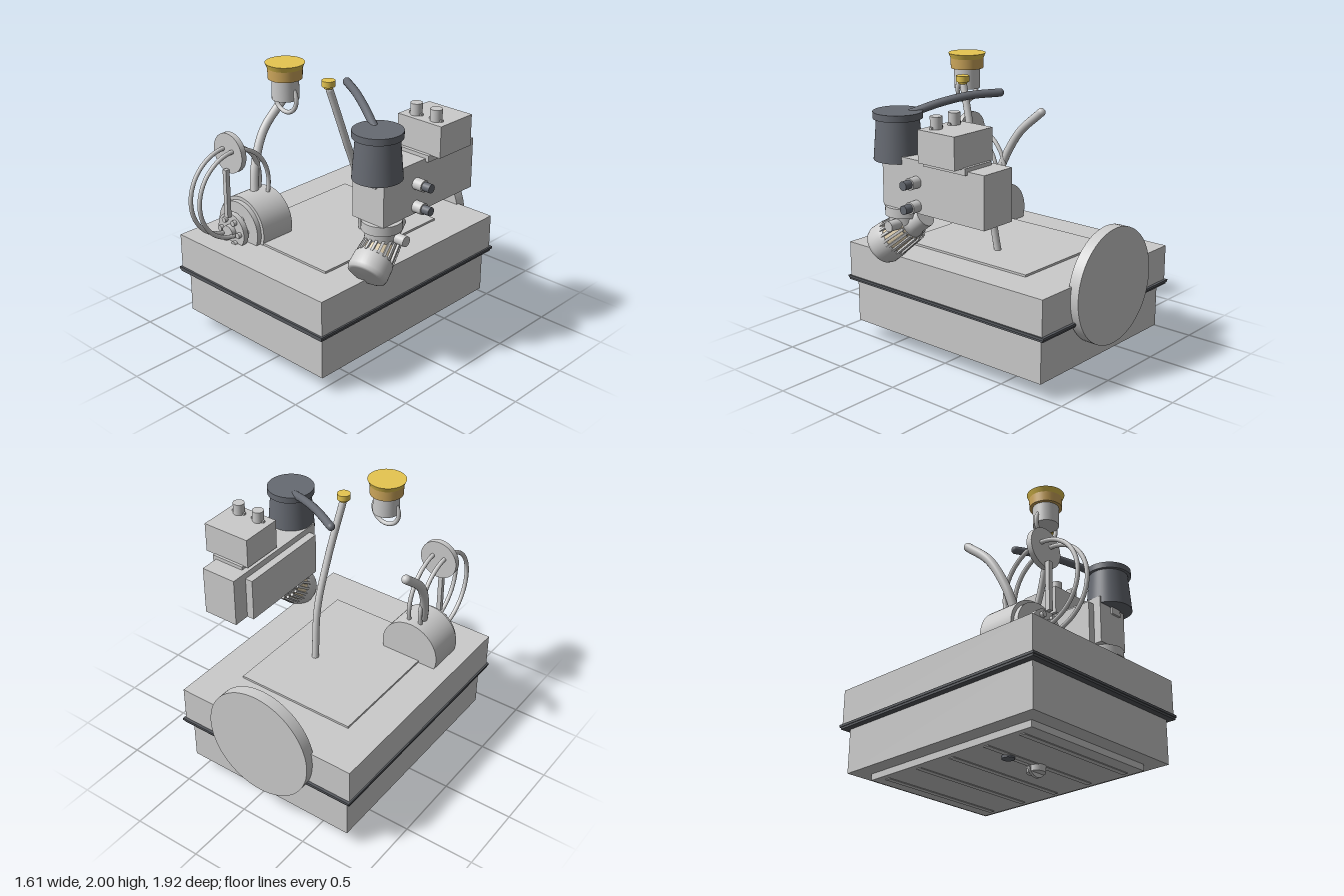
import * as THREE from 'three';

const material = (color) => new THREE.MeshStandardMaterial({ color });
const grey = material(0xcccccc);
const dark = material(0x666a72);
const gasketDark = material(0x55585d);
const gold = material(0xe6c650);
const brass = material(0xcfa85c);
const cream = material(0xe6d5b4);
const V = (p) => new THREE.Vector3(...p);

export function createModel() {
  const model = new THREE.Group();

  function add(name, geometry, mat = grey, parent = model) {
    const mesh = new THREE.Mesh(geometry, mat);
    mesh.name = name;
    parent.add(mesh);
    return mesh;
  }
  // box given by its limits on each axis
  function box(name, [x0, x1], [y0, y1], [z0, z1], mat) {
    const mesh = add(name, new THREE.BoxGeometry(x1 - x0, y1 - y0, z1 - z0), mat);
    mesh.position.set((x0 + x1) / 2, (y0 + y1) / 2, (z0 + z1) / 2);
    return mesh;
  }
  // round bar from a to b, radius ra at a and rb at b
  function rod(name, a, b, ra, rb = ra, mat = grey, sides = 40) {
    const dir = V(b).sub(V(a));
    const mesh = add(name, new THREE.CylinderGeometry(rb, ra, dir.length(), sides), mat);
    mesh.position.copy(V(a).add(V(b)).multiplyScalar(0.5));
    mesh.quaternion.setFromUnitVectors(new THREE.Vector3(0, 1, 0), dir.normalize());
    return mesh;
  }
  // bent pipe through points, closed with round ends
  function pipe(name, points, r, mat = grey) {
    const curve = new THREE.CatmullRomCurve3(points.map(V));
    add(name, new THREE.TubeGeometry(curve, 40, r, 14), mat);
    for (const t of [0, 1]) {
      add(name + 'End', new THREE.SphereGeometry(r, 14, 10), mat).position.copy(curve.getPoint(t));
    }
  }

  // Case: lower tub, seal, upper cover, lid panel
  box('lowerCase', [-0.76, 0.54], [0.12, 0.44], [-0.86, 0.795]);
  box('sealLower', [-0.805, 0.58], [0.43, 0.445], [-0.905, 0.84], gasketDark);
  box('sealUpper', [-0.81, 0.587], [0.445, 0.462], [-0.915, 0.845], gasketDark);
  box('upperCase', [-0.8, 0.575], [0.46, 0.71], [-0.895, 0.83]);
  box('lidPanel', [-0.55, 0.33], [0.71, 0.725], [-0.56, 0.545]);

  // Underside: base plate, ribs, drain plug with grip
  box('basePlate', [-0.645, 0.425], [0.075, 0.12], [-0.75, 0.68]);
  for (let i = 0; i < 5; i++) {
    const z = 0.56 - i * 0.3;
    box('baseRib', [-0.6, 0.38], [0.069, 0.076], [z - 0.02, z + 0.02]);
  }
  rod('drainPlug', [-0.11, 0.03, 0.23], [-0.11, 0.08, 0.23], 0.062);
  const grip = rod('drainGrip', [-0.11, 0.078, 0.22], [-0.11, 0.078, 0.24], 0.078);
  grip.scale.set(1, 1, 1);
  rod('drainVent', [-0.37, 0.057, 0.23], [-0.37, 0.08, 0.23], 0.043, 0.043, dark);
  rod('drainLink', [-0.33, 0.068, 0.23], [-0.17, 0.068, 0.23], 0.01);

  // Large disc on the back
  rod('backDisc', [-0.11, 0.62, -0.955], [-0.11, 0.62, -0.875], 0.4, 0.4, grey, 64);

  // Drum half sunk in the cover, with stepped front and bolted hub
  const drum = (name, r, z0, z1) => rod(name, [-0.47, 0.785, z0], [-0.47, 0.785, z1], r, r, grey, 48);
  drum('drum', 0.22, 0.285, 0.55);
  drum('drumStep', 0.195, 0.55, 0.585);
  drum('hubShaft', 0.05, 0.585, 0.685);
  drum('hubDisc', 0.13, 0.61, 0.65);
  for (let i = 0; i < 6; i++) {
    const a = (i * Math.PI) / 3;
    const x = -0.47 + 0.09 * Math.cos(a), y = 0.785 + 0.09 * Math.sin(a);
    rod('hubBolt', [x, y, 0.585], [x, y, 0.675], 0.02, 0.02, grey, 12);
  }

  // Upper pulley, twin hoops and link bar
  rod('pulley', [-0.47, 1.36, 0.61], [-0.47, 1.36, 0.65], 0.14);
  for (const x of [-0.515, -0.425]) {
    const hoop = add('hoop', new THREE.TorusGeometry(0.308, 0.015, 12, 72));
    hoop.rotation.y = Math.PI / 2;
    hoop.position.set(x, 1.075, 0.64);
  }
  box('linkBar', [-0.486, -0.454], [0.9, 1.25], [0.655, 0.688]);
  pipe('drumLever', [[-0.49, 0.95, 0.41], [-0.53, 1.15, 0.36], [-0.565, 1.38, 0.24], [-0.57, 1.56, 0.04]], 0.031);

  // Push button with ring
  rod('buttonStem', [-0.175, 1.755, 0.39], [-0.175, 1.9, 0.39], 0.09);
  rod('buttonCollar', [-0.175, 1.895, 0.39], [-0.175, 1.965, 0.39], 0.113, 0.115, brass);
  rod('buttonCap', [-0.175, 1.965, 0.39], [-0.175, 2, 0.39], 0.115, 0.13, gold);
  add('buttonRing', new THREE.TorusGeometry(0.1, 0.015, 12, 48)).position.set(-0.175, 1.76, 0.39);

  // Slender bent stalk with its cap
  pipe('stalk', [[0.06, 0.72, -0.095], [0.085, 1.1, -0.03], [0.088, 1.45, 0.1], [0.055, 1.82, 0.215]], 0.025);
  rod('stalkCapBase', [0.053, 1.835, 0.225], [0.053, 1.855, 0.225], 0.03, 0.035, gold);
  rod('stalkCap', [0.053, 1.85, 0.225], [0.053, 1.89, 0.225], 0.045, 0.045, gold);

  // Arm housing, side plate, control box with knobs
  box('arm', [0.41, 0.675], [1.095, 1.45], [-0.51, 0.375]);
  box('armSidePlate', [0.355, 0.41], [1.095, 1.405], [-0.39, 0.315]);
  box('controlPad', [0.45, 0.7], [1.43, 1.475], [-0.375, -0.02]);
  box('controlBox', [0.415, 0.773], [1.47, 1.685], [-0.355, -0.045]);
  for (const x of [0.51, 0.675]) {
    rod('controlKnob', [x, 1.685, -0.115], [x, 1.765, -0.115], 0.04);
    box('controlKnobTab', [x - 0.052, x + 0.052], [1.685, 1.7], [-0.125, -0.105]);
  }
  for (const y of [1.145, 1.305]) {
    rod('sideKnob', [0.67, y, 0.065], [0.745, y, 0.065], 0.04);
    rod('sideKnobTip', [0.745, y, 0.065], [0.803, y, 0.065], 0.03, 0.03, dark);
  }

  // Dark hopper, its lid and hose
  rod('hopper', [0.575, 1.4, 0.325], [0.575, 1.68, 0.325], 0.165, 0.142, dark, 48);
  rod('hopperLid', [0.575, 1.675, 0.325], [0.575, 1.72, 0.325], 0.165, 0.165, dark, 48);
  box('hopperTab', [0.53, 0.617], [1.35, 1.41], [0.34, 0.39]);
  pipe('hose', [[-0.03, 1.795, -0.035], [0.15, 1.79, 0.07], [0.33, 1.755, 0.175], [0.5, 1.7, 0.275]], 0.028, dark);

  // Head under the arm: collar, pivot bolt and tilted slotted nozzle
  rod('headCollar', [0.572, 1.03, 0.275], [0.572, 1.095, 0.275], 0.135, 0.135);
  rod('headNeck', [0.572, 0.95, 0.275], [0.572, 1.035, 0.275], 0.11, 0.115);
  rod('pivotBolt', [0.6, 0.985, 0.25], [0.76, 0.985, 0.25], 0.036);
  const nozzle = new THREE.Group();
  nozzle.name = 'nozzle';
  const start = V([0.55, 1.04, 0.115]);
  const axis = V([0.615, 0.77, 0.47]).sub(start).normalize();
  nozzle.position.copy(start);
  nozzle.quaternion.setFromUnitVectors(new THREE.Vector3(0, 1, 0), axis);
  model.add(nozzle);
  const profile = (pts) => new THREE.LatheGeometry(pts.map((p) => new THREE.Vector2(...p)), 40);
  add('nozzleTail', profile([[0, 0], [0.075, 0], [0.075, 0], [0.078, 0.1], [0.105, 0.15], [0, 0.15]]), grey, nozzle);
  add('nozzleCore', profile([[0.1, 0.13], [0.118, 0.33]]), cream, nozzle);
  add('nozzleCup', profile([[0, 0.3], [0.118, 0.3], [0.118, 0.3], [0.135, 0.33], [0.138, 0.42],
    [0.13, 0.445], [0.11, 0.453], [0, 0.453]]), grey, nozzle);
  for (let i = 0; i < 18; i++) {
    const a = (i * Math.PI) / 9;
    const rib = add('nozzleRib', new THREE.BoxGeometry(0.018, 0.19, 0.022), grey, nozzle);
    rib.position.set(Math.sin(a) * 0.112, 0.225, Math.cos(a) * 0.112);
    rib.rotation.set(0.09, a, 0, 'YXZ');
  }
  return model;
}
